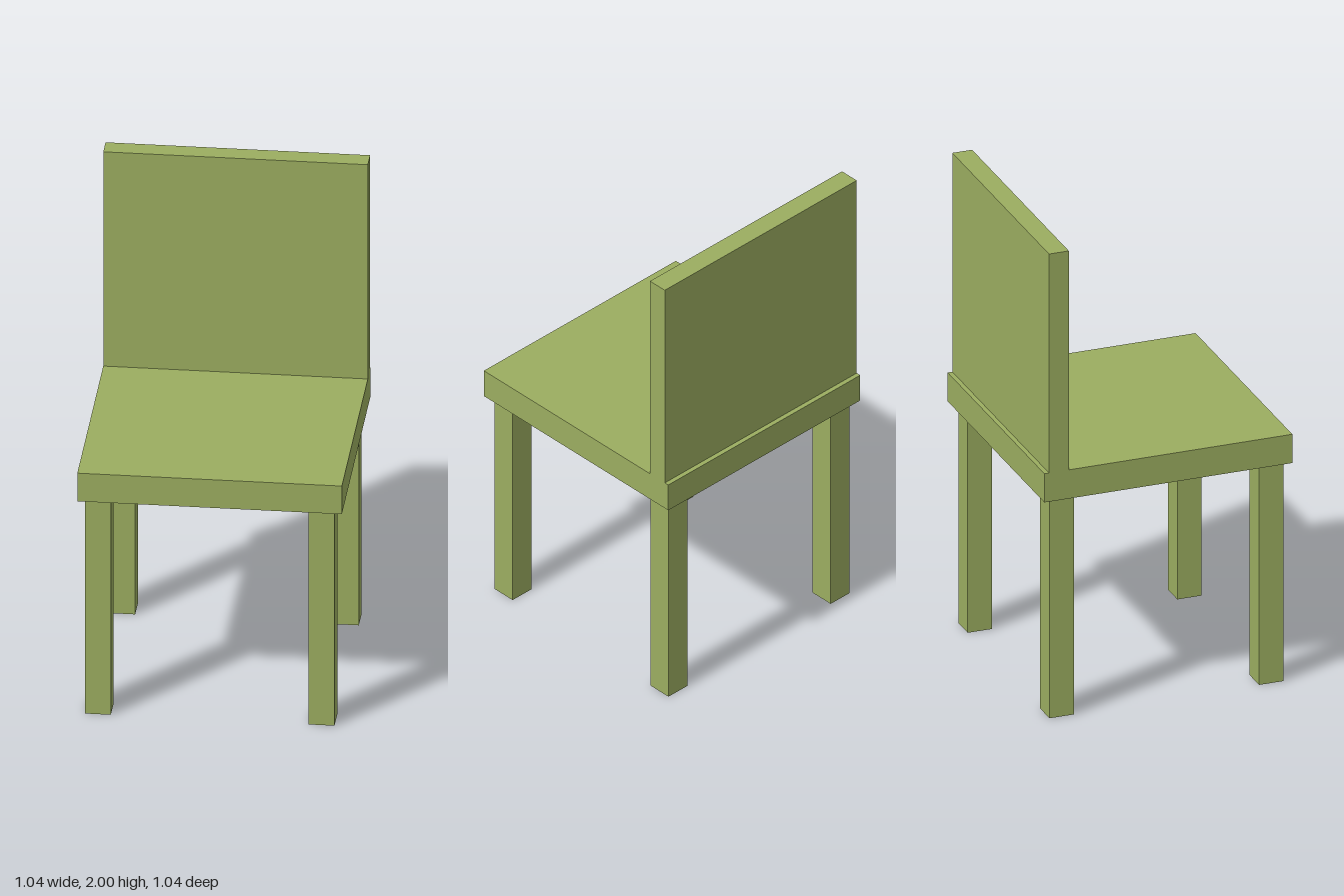
import * as THREE from 'three';

export function createModel() {
  const chair = new THREE.Group();
  chair.name = 'chair';
  const material = new THREE.MeshStandardMaterial({ color: 0x9bad60 });

  // Box given by its centre in x and z, and its bottom in y
  function addBox(name, [w, h, d], [x, bottom, z]) {
    const mesh = new THREE.Mesh(new THREE.BoxGeometry(w, h, d), material);
    mesh.name = name;
    mesh.position.set(x, bottom + h / 2, z);
    chair.add(mesh);
  }

  const legHeight = 0.94;
  const seatTop = 1.063;
  const width = 1.04;

  // Seat slab and upright back panel, set slightly in from the rear edge
  addBox('seat', [width, seatTop - legHeight, width], [0, legHeight, 0]);
  addBox('backrest', [width, 2 - seatTop, 0.083], [0, seatTop, -0.459]);

  // Four square legs
  for (const [side, x] of [['Left', 0.437], ['Right', -0.442]]) {
    for (const [end, z] of [['front', 0.442], ['back', -0.437]]) {
      addBox(`${end}${side}Leg`, [0.102, legHeight, 0.102], [x, 0, z]);
    }
  }

  return chair;
}
